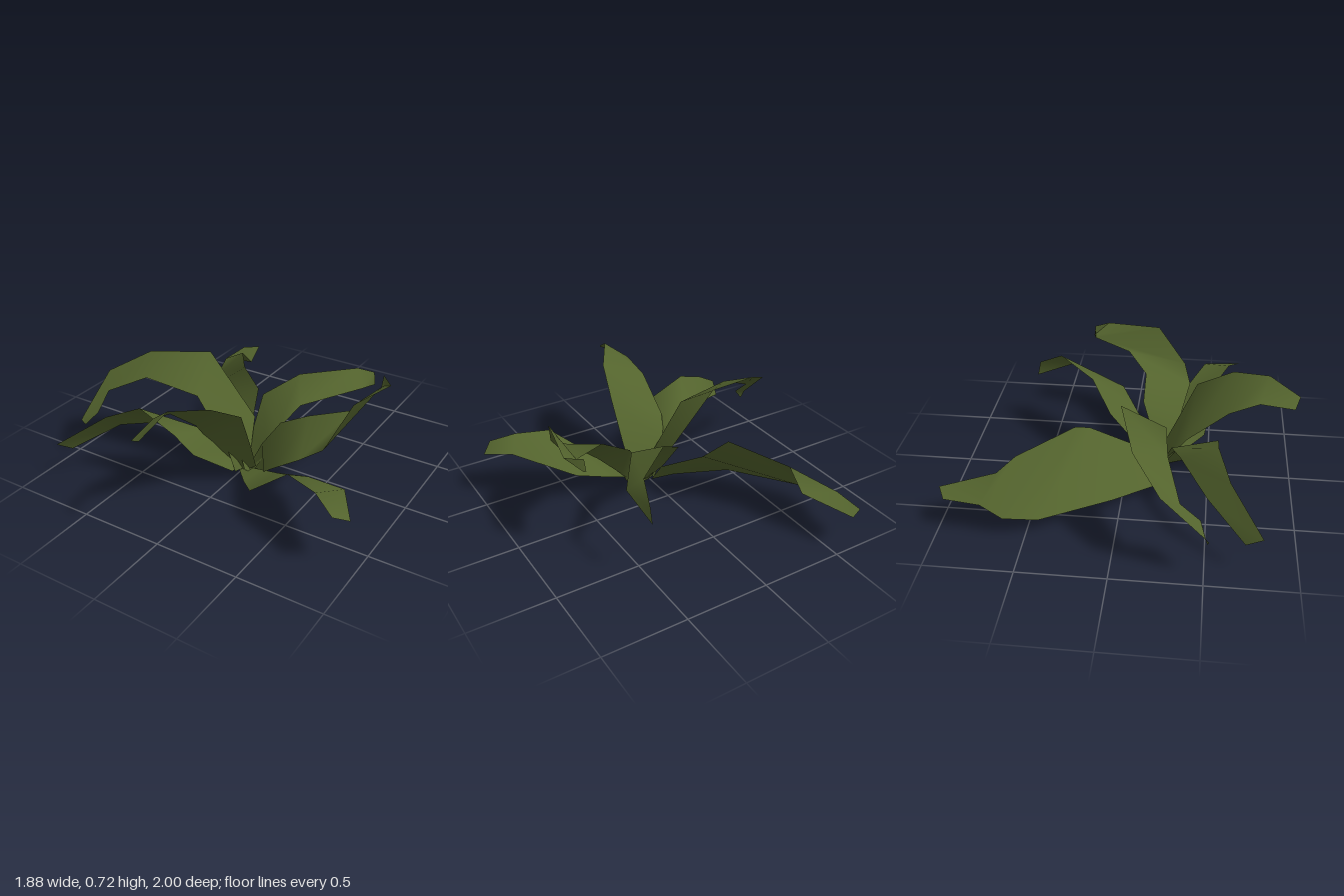
import * as THREE from 'three';

const leafGreen = new THREE.MeshStandardMaterial({ color: 0x53632d, side: THREE.DoubleSide });
leafGreen.name = 'leafGreen';

// A leaf blade: two edges running from base to tip, joined by a smooth sheet
function makeLeaf(name, edgeA, edgeB) {
  const positions = [];
  const index = [];
  edgeA.forEach((a, i) => {
    positions.push(...a, ...edgeB[i]);
    if (i === 0) return;
    const k = 2 * i;
    index.push(k - 2, k - 1, k, k - 1, k + 1, k);
  });
  const geometry = new THREE.BufferGeometry();
  geometry.setAttribute('position', new THREE.Float32BufferAttribute(positions, 3));
  geometry.setIndex(index);
  geometry.computeVertexNormals();
  const leaf = new THREE.Mesh(geometry, leafGreen);
  leaf.name = name;
  return leaf;
}

export function createModel() {
  const plant = new THREE.Group();
  plant.name = 'leafyPlant';

  // Broad leaf to the back, low on its outer edge, pinched before a flat tip
  plant.add(makeLeaf('broadBackLeaf',
    [[-0.02, 0.03, 0.2], [-0.16, 0, 0.19], [-0.42, 0.07, -0.04], [-0.67, 0.09, -0.43], [-0.71, 0.115, -0.62], [-0.71, 0.2, -0.74], [-0.69, 0.21, -0.95]],
    [[0.03, 0.05, 0.15], [0, 0.17, 0.08], [-0.11, 0.36, -0.21], [-0.25, 0.45, -0.27], [-0.465, 0.37, -0.58], [-0.47, 0.25, -0.7], [-0.59, 0.22, -1]]));
  // Arched leaf to the side, drooping at its tip
  plant.add(makeLeaf('archedSideLeaf',
    [[0.01, 0.04, 0.25], [-0.05, 0.2, 0.25], [-0.25, 0.48, 0.25], [-0.6, 0.52, 0.28], [-0.84, 0.4, 0.36], [-0.84, 0.3, 0.47], [-0.92, 0.21, 0.51]],
    [[0.05, 0.05, 0.16], [0, 0.3, 0.01], [-0.32, 0.65, 0], [-0.7, 0.6, 0.1], [-0.91, 0.48, 0.26], [-0.94, 0.26, 0.5], [-0.94, 0.24, 0.52]]));
  // Narrow drooping leaf to the front corner
  plant.add(makeLeaf('droopingFrontLeaf',
    [[0.01, 0.06, 0.28], [-0.14, 0.22, 0.46], [-0.2, 0.38, 0.55], [-0.44, 0.485, 0.55], [-0.64, 0.4, 0.62], [-0.88, 0.23, 0.8]],
    [[0, 0.04, 0.19], [-0.09, 0.16, 0.24], [-0.17, 0.29, 0.28], [-0.33, 0.33, 0.34], [-0.64, 0.29, 0.5], [-0.85, 0.165, 0.71]]));
  // Tall leaf leaning to the front
  plant.add(makeLeaf('tallFrontLeaf',
    [[0.04, 0.03, 0.2], [0.13, 0.1, 0.21], [0.15, 0.27, 0.29], [0.16, 0.54, 0.41], [0.1, 0.67, 0.62], [-0.02, 0.72, 0.82], [-0.07, 0.62, 1]],
    [[-0.02, 0.03, 0.2], [-0.08, 0.1, 0.22], [-0.14, 0.2, 0.27], [-0.18, 0.36, 0.37], [-0.18, 0.55, 0.6], [-0.16, 0.61, 0.77], [-0.15, 0.58, 0.97]]));
  // Low spreading leaf, raised along its front edge
  plant.add(makeLeaf('lowSpreadingLeaf',
    [[0.02, 0.04, 0.22], [0.14, 0.08, 0.36], [0.25, 0.12, 0.47], [0.53, 0.37, 0.54], [0.73, 0.37, 0.61], [0.87, 0.32, 0.69]],
    [[0.04, 0.04, 0.17], [0.16, 0.08, 0.2], [0.28, 0.11, 0.22], [0.5, 0.18, 0.25], [0.82, 0.33, 0.45], [0.94, 0.28, 0.62]]));
  // Twisting leaf whose tip turns upright and back
  plant.add(makeLeaf('twistingLeaf',
    [[0.06, 0.06, 0.17], [0.13, 0.22, 0.14], [0.22, 0.36, 0.08], [0.4, 0.46, 0.08], [0.62, 0.5, -0.05], [0.68, 0.56, -0.28], [0.7, 0.57, -0.29]],
    [[0.16, 0.02, 0.17], [0.2, 0.1, 0.24], [0.32, 0.21, 0.31], [0.5, 0.35, 0.36], [0.62, 0.43, 0.32], [0.7, 0.645, 0.14], [0.77, 0.63, -0.2]]));
  // Folded end of the twisting leaf
  plant.add(makeLeaf('twistingLeafTip',
    [[0.68, 0.56, -0.28], [0.7, 0.57, -0.29]],
    [[0.69, 0.64, -0.28], [0.77, 0.63, -0.2]]));
  // Slim upright leaf to the back
  plant.add(makeLeaf('slimBackLeaf',
    [[0.03, 0.05, 0.18], [0, 0.2, 0.05], [-0.01, 0.4, -0.1], [0.17, 0.53, -0.23], [0.44, 0.54, -0.47], [0.49, 0.46, -0.62]],
    [[0.1, 0.04, 0.19], [0.16, 0.17, 0.14], [0.19, 0.3, 0.05], [0.28, 0.43, -0.05], [0.51, 0.45, -0.4], [0.49, 0.365, -0.64]]));
  // Small sprout in the middle
  plant.add(makeLeaf('sprout',
    [[0.02, 0.03, 0.19], [0, 0.19, 0.2]],
    [[0.12, 0.02, 0.18], [0.07, 0.07, 0.24]]));

  return plant;
}
